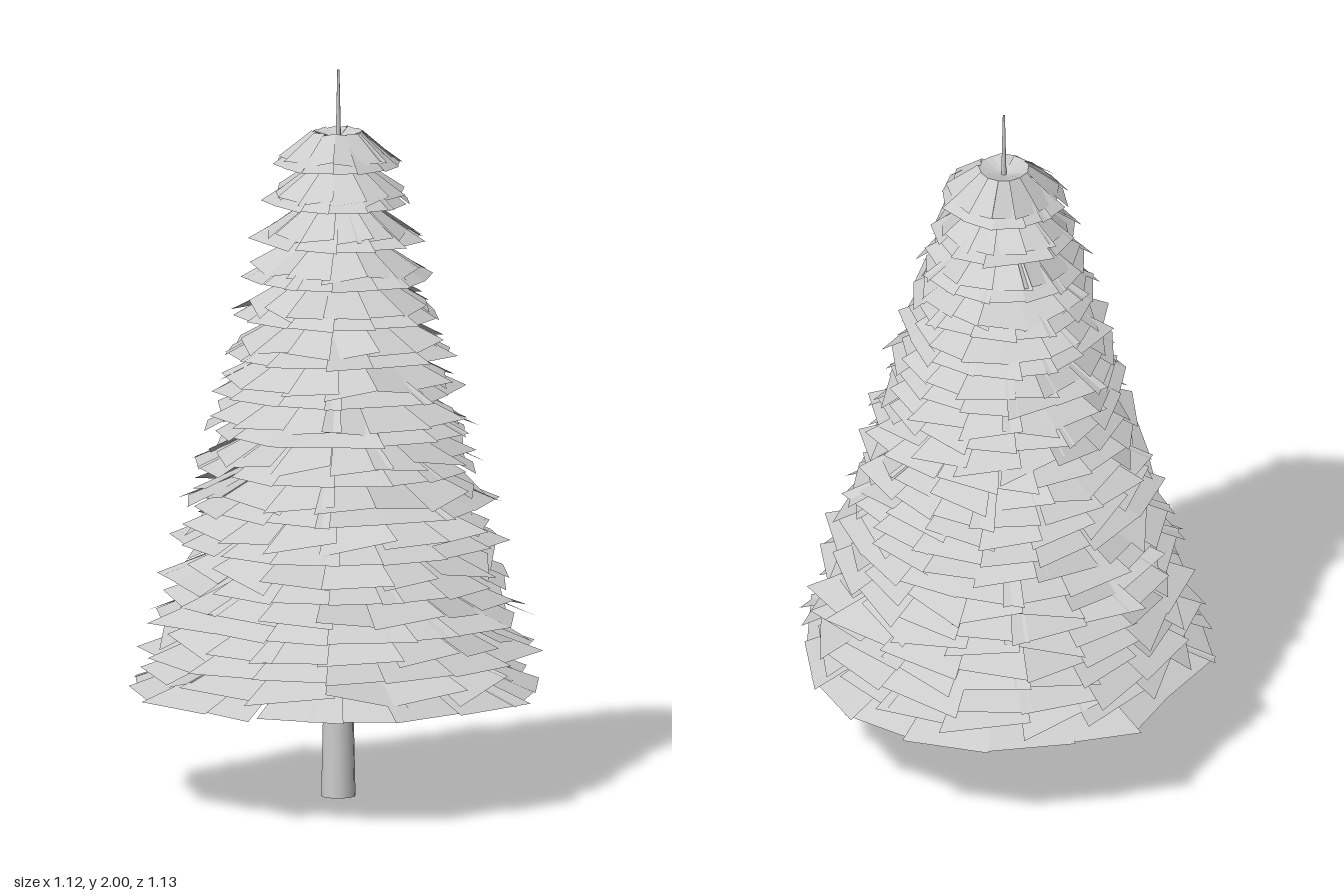
import * as THREE from 'three';

// Small seeded random generator
function makeRandom(seed) {
  let s = seed;
  return () => {
    s = (s * 16807) % 2147483647;
    return s / 2147483647;
  };
}

// One tier of drooping wedge-shaped boughs, each bent once along its length.
// roll tips each bough sideways by up to that height.
function tierGeometry(radius, tipY, rand, roll) {
  const count = Math.round(11 + radius * 10);
  const kneeY = tipY + 0.053 + 0.115 * radius;
  const centre = [0, kneeY - 0.02 + (radius - 0.17) * 0.2, 0];
  const vertices = [];
  const point = (a, r, y) => [Math.sin(a) * r, y, Math.cos(a) * r];

  for (let i = 0; i < count; i++) {
    const mid = ((i + (rand() - 0.5) * 0.3) / count) * Math.PI * 2;
    const half = (Math.PI / count) * (1.1 + rand() * 0.2);
    const skew = (rand() - 0.5) * 0.14;
    const reach = radius * (0.95 + rand() * 0.03);
    const tilt = (rand() - 0.5) * 2 * roll;

    // Left and right edges: knee, then tip
    const [kneeL, tipL, kneeR, tipR] = [-1, 1].flatMap((side) => {
      const r = reach * (1 + side * skew);
      const a = mid + side * half;
      return [
        point(a, r * 0.45, kneeY + side * tilt * 0.4),
        point(a, r, tipY + side * tilt),
      ];
    });
    vertices.push(
      ...centre, ...kneeL, ...kneeR,
      ...kneeL, ...tipL, ...tipR,
      ...kneeL, ...tipR, ...kneeR,
    );
  }

  const geometry = new THREE.BufferGeometry();
  geometry.setAttribute('position', new THREE.Float32BufferAttribute(vertices, 3));
  geometry.computeVertexNormals();
  return geometry;
}

export function createModel() {
  const tree = new THREE.Group();
  tree.name = 'coniferTree';
  const grey = new THREE.MeshStandardMaterial({ color: 0xcccccc, side: THREE.DoubleSide });
  grey.name = 'light grey';
  const rand = makeRandom(4711);

  // Tapered trunk running up to the bare leader at the top
  const trunk = new THREE.Mesh(new THREE.CylinderGeometry(0.003, 0.047, 2, 12), grey);
  trunk.name = 'trunk';
  trunk.position.y = 1;
  tree.add(trunk);

  // Foliage: level tiers narrowing upwards, with a shorter, ragged tier above each
  const foliage = new THREE.Group();
  foliage.name = 'foliage';
  const addTier = (name, radius, y, roll) => {
    const mesh = new THREE.Mesh(tierGeometry(radius, y, rand, roll), grey);
    mesh.name = name;
    foliage.add(mesh);
  };
  const tiers = 15;
  for (let i = 0; i < tiers; i++) {
    const t = i / (tiers - 1);
    const radius = 0.578 - 0.4 * t;
    const y = 0.297 + 1.443 * t;
    addTier(`boughTier${i + 1}`, radius, y, 0);
    addTier(`raggedTier${i + 1}`, radius * 0.94 - 0.01, y + 0.045 - 0.025 * t, 0.03 - 0.02 * t);
  }
  tree.add(foliage);

  return tree;
}
